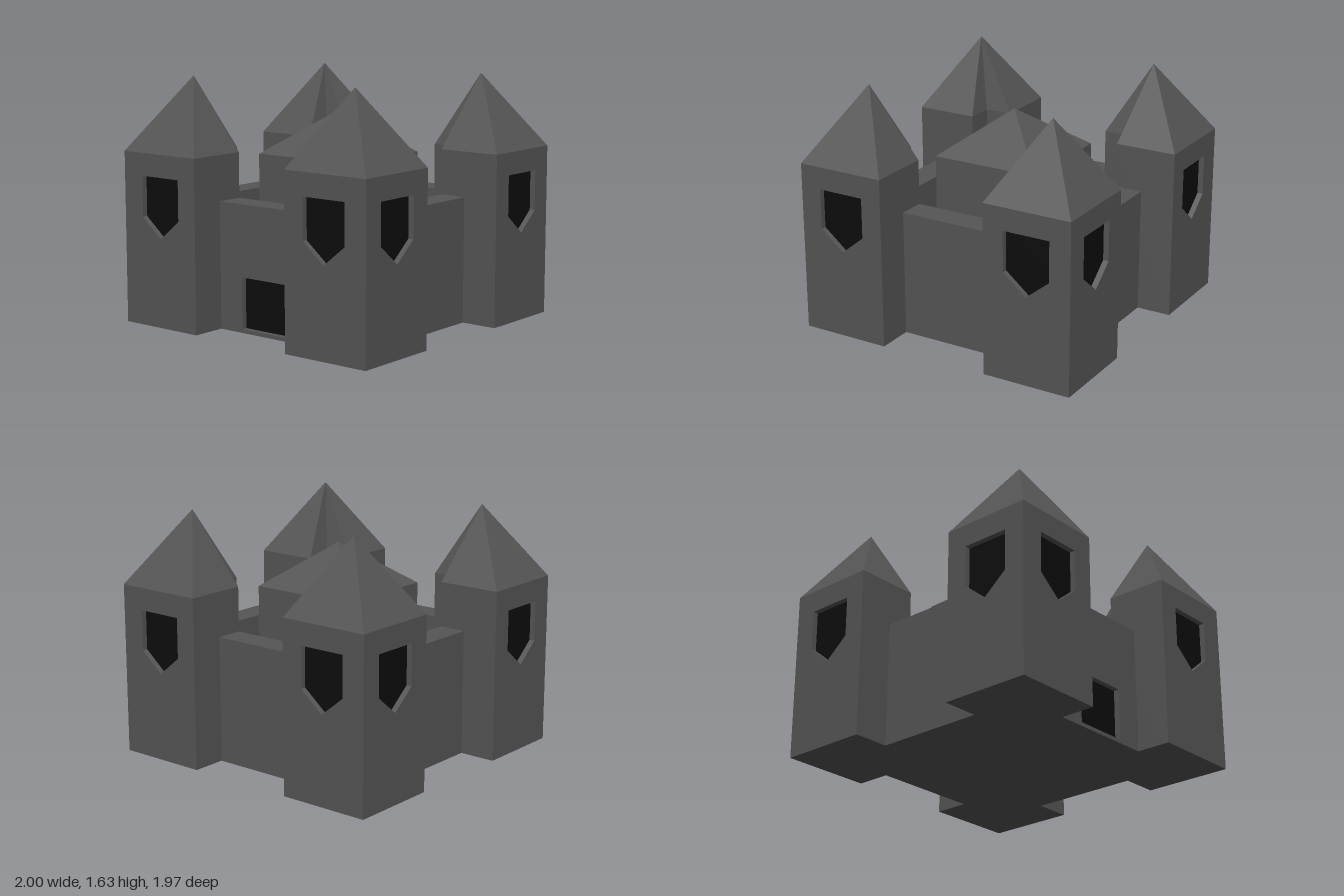
import * as THREE from 'three';

const stone = new THREE.MeshStandardMaterial({ color: 0x555555, flatShading: true });
const dark = new THREE.MeshStandardMaterial({ color: 0x0d0d0d });

const RECESS = 0.04;                 // depth of the windows and the door
const X = 1, Z = 0.985;              // outer faces of the towers
const IX = 0.375, IZ = 0.377;        // inner faces of the towers
const WALL = 0.75, YARD = 0.565;     // outer and inner faces of the walls
const TOWER_H = 1.14, WALL_H = 0.84, FLOOR_H = 0.025;

function add(parent, name, geometry, material = stone) {
  const mesh = new THREE.Mesh(geometry, material);
  mesh.name = name;
  parent.add(mesh);
  return mesh;
}

// Box given by its limits
function block(parent, name, x0, x1, y0, y1, z0, z1) {
  const g = new THREE.BoxGeometry(x1 - x0, y1 - y0, z1 - z0);
  g.translate((x0 + x1) / 2, (y0 + y1) / 2, (z0 + z1) / 2);
  return add(parent, name, g);
}

const toPoints = (list) => list.map(([u, v]) => new THREE.Vector2(u, v));

// Upright slab with an opening, turned to face `angle`, with a dark panel at its back
function piercedFace(parent, name, angle, distance, u0, u1, height, opening) {
  const shape = new THREE.Shape(toPoints([[u0, 0], [u1, 0], [u1, height], [u0, height]]));
  shape.holes.push(new THREE.Path(toPoints(opening)));
  const slab = new THREE.ExtrudeGeometry(shape, { depth: RECESS, bevelEnabled: false });
  slab.translate(0, 0, distance - RECESS).rotateY(angle);
  add(parent, name + 'Face', slab);
  const panel = new THREE.ShapeGeometry(new THREE.Shape(toPoints(opening)));
  panel.translate(0, 0, distance - RECESS + 0.002).rotateY(angle);
  add(parent, name, panel, dark);
}

// Shield-shaped window outline
const windowAt = (u) => [
  [u - 0.16, 0.99], [u - 0.16, 0.72], [u, 0.59], [u + 0.16, 0.72], [u + 0.16, 0.99],
];

// L-shaped tower plan, cut away at the courtyard corner
const towerPlan = (x, z) => [[x, z], [x, IZ], [YARD, IZ], [YARD, YARD], [IX, YARD], [IX, z]];

function tower(sx, sz) {
  const group = new THREE.Group();
  group.name = (sz > 0 ? 'front' : 'back') + (sx > 0 ? 'Left' : 'Right') + 'Tower';
  const s = sx * sz;

  // Core behind the pierced outer faces
  const plan = towerPlan(X - RECESS, Z - RECESS).map(([x, z]) => [x * sx, -z * sz]);
  const core = new THREE.ExtrudeGeometry(new THREE.Shape(toPoints(plan)), { depth: TOWER_H, bevelEnabled: false });
  add(group, 'towerCore', core.rotateX(-Math.PI / 2));

  // Two outer faces with windows
  piercedFace(group, 'window', sz > 0 ? 0 : Math.PI, Z, s * IX, s * X, TOWER_H, windowAt(s * 0.68));
  piercedFace(group, 'sideWindow', sx * Math.PI / 2, X, -s * IZ, -s * (Z - RECESS), TOWER_H, windowAt(-s * 0.68));

  // Roof: a fan of triangles from the plan outline to the peak
  const rim = towerPlan(X, Z).map(([x, z]) => [x * sx, TOWER_H, z * sz]);
  if (s < 0) rim.reverse();
  const peak = [0.67 * sx, 1.63, 0.671 * sz];
  const positions = rim.flatMap((p, i) => [...p, ...rim[(i + 1) % rim.length], ...peak]);
  const roof = new THREE.BufferGeometry();
  roof.setAttribute('position', new THREE.Float32BufferAttribute(positions, 3));
  roof.computeVertexNormals();
  add(group, 'towerRoof', roof);
  return group;
}

export function createModel() {
  const castle = new THREE.Group();
  castle.name = 'castle';

  for (const sx of [1, -1]) for (const sz of [1, -1]) castle.add(tower(sx, sz));

  // Curtain walls around the courtyard
  block(castle, 'leftWall', YARD, WALL, 0, WALL_H, -IZ, IZ);
  block(castle, 'rightWall', -WALL, -YARD, 0, WALL_H, -IZ, IZ);
  block(castle, 'backWall', -IX, IX, 0, WALL_H, -WALL, -YARD);
  block(castle, 'frontWall', -IX, IX, 0, WALL_H, YARD, WALL - RECESS);
  piercedFace(castle, 'door', 0, WALL, -IX, IX, WALL_H,
    [[-0.19, 0.025], [0.19, 0.025], [0.19, 0.365], [-0.19, 0.365]]);

  block(castle, 'courtyardFloor', -YARD, YARD, 0, FLOOR_H, -YARD, YARD);

  // Central keep with a pyramid roof
  const half = 0.372, keepH = 1.11, peakH = 1.395;
  block(castle, 'keep', -half, half, FLOOR_H, keepH, -half, half);
  const roof = new THREE.ConeGeometry(half * Math.SQRT2, peakH - keepH, 4);
  roof.rotateY(Math.PI / 4).translate(0, (keepH + peakH) / 2, 0);
  add(castle, 'keepRoof', roof);

  return castle;
}
